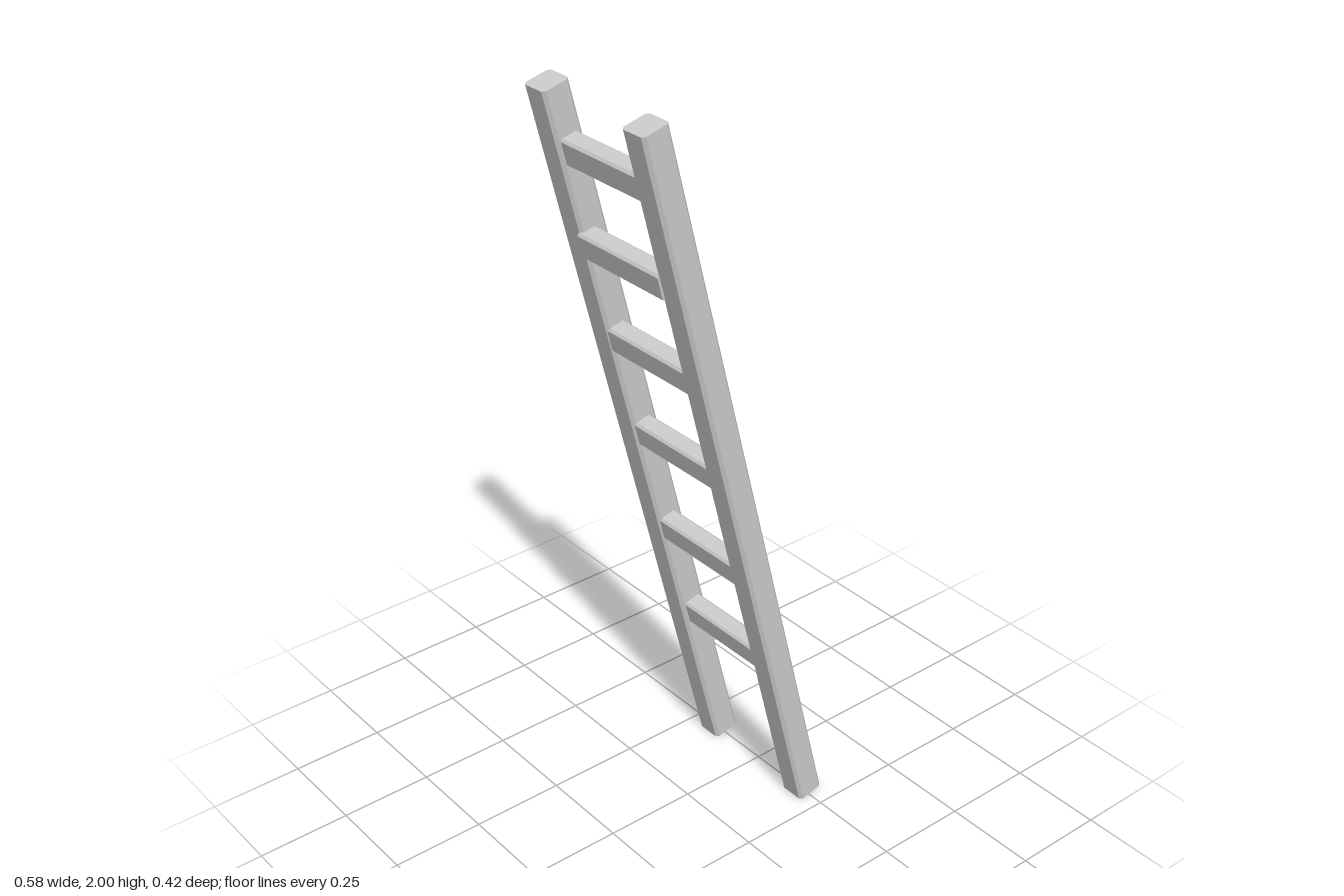
import * as THREE from 'three';

const material = new THREE.MeshStandardMaterial({ color: 0xcccccc, flatShading: true });

// Bar along z, centred, with its four long edges chamfered
function bar(width, height, length, c) {
  const x = width / 2, y = height / 2;
  const shape = new THREE.Shape([
    [-x + c, -y], [x - c, -y], [x, -y + c], [x, y - c],
    [x - c, y], [-x + c, y], [-x, y - c], [-x, -y + c],
  ].map(([px, py]) => new THREE.Vector2(px, py)));
  return new THREE.ExtrudeGeometry(shape, { depth: length, bevelEnabled: false })
    .translate(0, 0, -length / 2);
}

export function createModel() {
  const ladder = new THREE.Group();
  ladder.name = 'ladder';
  const lean = Math.atan(0.2548);

  // Two leaning side rails
  const railGeometry = bar(0.073, 0.075, 2.045, 0.008).rotateX(-Math.PI / 2);
  for (const side of [-1, 1]) {
    const rail = new THREE.Mesh(railGeometry, material);
    rail.name = side > 0 ? 'frontRail' : 'backRail';
    rail.position.set(0, 1, side * 0.1725);
    rail.rotation.z = lean;
    ladder.add(rail);
  }

  // Unevenly set rungs [x, y], ends let into the rails
  const rungGeometry = bar(0.05, 0.07, 0.29, 0.006);
  const rungs = [
    [0.135, 0.47], [0.054, 0.76], [-0.022, 1.062],
    [-0.096, 1.34], [-0.171, 1.6], [-0.215, 1.838],
  ];
  rungs.forEach(([x, y], i) => {
    const rung = new THREE.Mesh(rungGeometry, material);
    rung.name = `rung${i + 1}`;
    rung.position.set(x, y, 0);
    rung.rotation.z = lean;
    ladder.add(rung);
  });

  return ladder;
}
